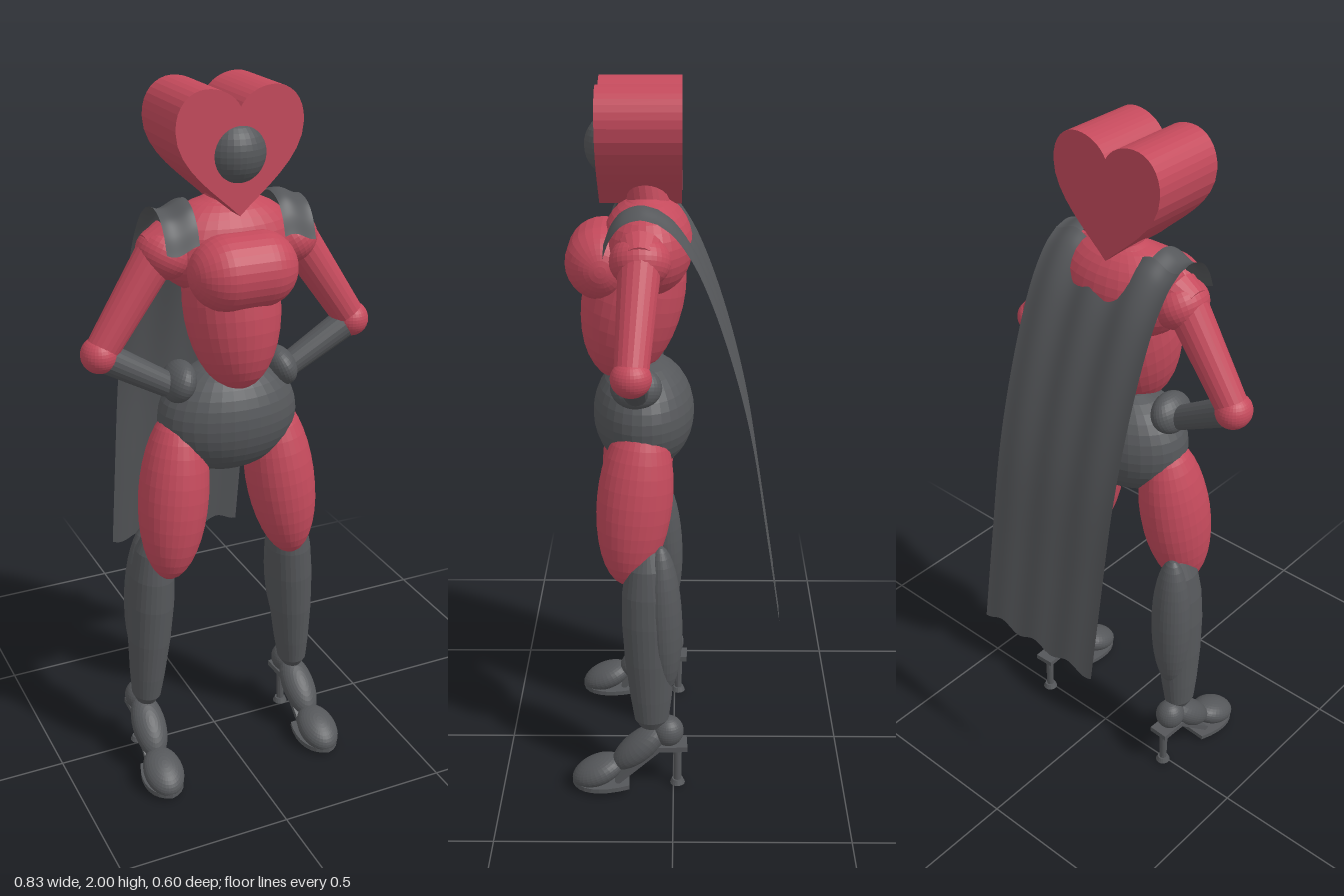
import * as THREE from 'three';

const red = new THREE.MeshStandardMaterial({ color: 0xc44a5c, flatShading: true });
const dark = new THREE.MeshStandardMaterial({ color: 0x55575a, flatShading: true });
const cloth = new THREE.MeshStandardMaterial({ color: 0x55575a, side: THREE.DoubleSide });
const V = (x, y, z) => new THREE.Vector3(x, y, z);

function add(parent, name, geometry, material, pos = [0, 0, 0], rot = [0, 0, 0]) {
  const mesh = new THREE.Mesh(geometry, material);
  mesh.name = name;
  mesh.position.set(...pos);
  mesh.rotation.set(...rot);
  parent.add(mesh);
  return mesh;
}

function ellipsoid(parent, name, material, pos, radii, rot) {
  const geometry = new THREE.SphereGeometry(1, 32, 18).scale(...radii);
  return add(parent, name, geometry, material, pos, rot);
}

// Tapered limb running from a to b
function limb(parent, name, material, a, b, ra, rb) {
  const dir = b.clone().sub(a);
  const mesh = add(parent, name, new THREE.CylinderGeometry(rb, ra, dir.length(), 20), material,
    a.clone().add(b).multiplyScalar(0.5).toArray());
  mesh.quaternion.setFromUnitVectors(V(0, 1, 0), dir.normalize());
  return mesh;
}

function buildHead() {
  const head = new THREE.Group();
  head.name = 'head';
  const heart = new THREE.Shape();
  heart.moveTo(0, 0);
  heart.bezierCurveTo(0.06, 0.06, 0.173, 0.13, 0.173, 0.225);
  heart.bezierCurveTo(0.173, 0.285, 0.135, 0.32, 0.09, 0.32);
  heart.bezierCurveTo(0.05, 0.32, 0.015, 0.3, 0, 0.272);
  heart.bezierCurveTo(-0.015, 0.3, -0.05, 0.32, -0.09, 0.32);
  heart.bezierCurveTo(-0.135, 0.32, -0.173, 0.285, -0.173, 0.225);
  heart.bezierCurveTo(-0.173, 0.13, -0.06, 0.06, 0, 0);
  add(head, 'heartHead', new THREE.ExtrudeGeometry(heart, { depth: 0.22, bevelEnabled: false, curveSegments: 8 }),
    red, [-0.018, 1.68, -0.022]);
  ellipsoid(head, 'face', dark, [-0.018, 1.835, 0.15], [0.086, 0.086, 0.085]);
  limb(head, 'neck', red, V(0, 1.63, 0.06), V(0, 1.78, 0.08), 0.06, 0.05);
  return head;
}

function buildTorso() {
  const torso = new THREE.Group();
  torso.name = 'torso';
  ellipsoid(torso, 'ribcage', red, [0, 1.575, 0.07], [0.2, 0.135, 0.122]);
  ellipsoid(torso, 'collar', red, [0, 1.645, 0.07], [0.12, 0.07, 0.08]);
  ellipsoid(torso, 'waist', red, [0, 1.43, 0.11], [0.13, 0.24, 0.138], [-0.22, 0, 0]);
  const bust = new THREE.CapsuleGeometry(0.1, 0.095, 10, 28).rotateZ(Math.PI / 2);
  add(torso, 'bust', bust, red, [-0.005, 1.535, 0.19]);
  ellipsoid(torso, 'hips', dark, [0, 1.1, 0.084], [0.2, 0.162, 0.141]);
  return torso;
}

function buildArm(side) {
  const arm = new THREE.Group();
  arm.name = side > 0 ? 'leftArm' : 'rightArm';
  const z = side > 0 ? 0.105 : 0.088;
  const shoulder = V(side * 0.2, 1.575, 0.085), elbow = V(side * 0.366, 1.325, z);
  const wrist = V(side * 0.18, 1.215, 0.1);
  ellipsoid(arm, 'shoulder', red, [side * 0.18, 1.575, 0.085], [0.075, 0.068, 0.08], [0, 0, side * 0.5]);
  limb(arm, 'shoulderCuff', red, V(side * 0.175, 1.6, 0.085), V(side * 0.225, 1.585, 0.085), 0.062, 0.045);
  limb(arm, 'upperArm', red, shoulder, elbow, 0.056, 0.044);
  ellipsoid(arm, 'elbow', red, elbow.toArray(), [0.049, 0.049, 0.053]);
  limb(arm, 'forearm', dark, elbow, wrist, 0.042, 0.034);
  ellipsoid(arm, 'hand', dark, [side * 0.15, 1.22, 0.1], [0.042, 0.058, 0.07], [0, 0, side * 0.4]);
  return arm;
}

function buildLeg(side) {
  const leg = new THREE.Group();
  leg.name = side > 0 ? 'leftLeg' : 'rightLeg';
  leg.position.x = -0.008;
  ellipsoid(leg, 'thigh', red, [side * 0.163, 0.89, 0.107], [0.097, 0.25, 0.105], [-0.1, 0, side * 0.12]);
  // Boot shaft: knee to ankle, with a calf behind
  const profile = [[0, 0], [0.03, 0.005], [0.045, 0.03], [0.054, 0.1], [0.065, 0.22], [0.07, 0.34],
    [0.067, 0.43], [0.055, 0.51], [0.033, 0.56], [0, 0.58]].map(p => new THREE.Vector2(...p));
  const shaft = new THREE.LatheGeometry(profile, 28).scale(0.93, 1, 1.1);
  add(leg, 'bootShaft', shaft, dark, [side * 0.243, 0.2, 0.062], [0.02, 0, side * 0.06]);
  ellipsoid(leg, 'calf', dark, [side * 0.225, 0.545, 0.03], [0.062, 0.23, 0.055], [0.03, 0, side * 0.04]);
  leg.add(buildShoe(side));
  return leg;
}

function buildShoe(side) {
  const shoe = new THREE.Group();
  shoe.name = 'shoe';
  shoe.position.x = side * 0.245;
  shoe.rotation.y = side * 0.04;
  ellipsoid(shoe, 'ankle', dark, [0, 0.188, 0.015], [0.043, 0.046, 0.045]);
  ellipsoid(shoe, 'instep', dark, [0, 0.135, 0.1], [0.05, 0.042, 0.1], [0.72, 0, 0]);
  ellipsoid(shoe, 'toe', dark, [0, 0.055, 0.222], [0.058, 0.04, 0.08], [0.4, 0, 0]);
  // Pointed front sole
  const sole = new THREE.Shape();
  sole.moveTo(-0.04, -0.13);
  sole.lineTo(0.04, -0.13);
  sole.bezierCurveTo(0.075, -0.22, 0.055, -0.285, 0, -0.297);
  sole.bezierCurveTo(-0.055, -0.285, -0.075, -0.22, -0.04, -0.13);
  const plate = new THREE.ExtrudeGeometry(sole, { depth: 0.014, bevelEnabled: false, curveSegments: 8 });
  add(shoe, 'frontSole', plate.rotateX(-Math.PI / 2), dark, [0, 0.012, 0]);
  add(shoe, 'arch', new THREE.BoxGeometry(0.06, 0.014, 0.17), dark, [0, 0.084, 0.105], [0.74, 0, 0]);
  add(shoe, 'heelSeat', new THREE.BoxGeometry(0.06, 0.016, 0.09), dark, [0, 0.14, 0.005]);
  add(shoe, 'heel', new THREE.CylinderGeometry(0.013, 0.011, 0.13, 12), dark, [0, 0.075, -0.012]);
  add(shoe, 'heelTip', new THREE.CylinderGeometry(0.016, 0.022, 0.014, 16), dark, [0, 0.013, -0.012]);
  ellipsoid(shoe, 'tread', dark, [0, 0.013, 0.22], [0.045, 0.013, 0.06]);
  return shoe;
}

// A rippled cloth strip: sweeps a side profile between two x limits
function drape(parent, name, points, x0, x1, segments) {
  const curve = new THREE.CatmullRomCurve3(points.map(([z, y]) => V(0, y, z)));
  const geometry = new THREE.PlaneGeometry(1, 1, segments, 40);
  const p = geometry.attributes.position;
  for (let i = 0; i < p.count; i++) {
    const x = x0 + (x1 - x0) * (p.getX(i) + 0.5);
    const c = curve.getPoint(0.5 - p.getY(i));
    p.setXYZ(i, x, c.y + 0.011 * Math.sin(x * 48 + 1), c.z);
  }
  geometry.computeVertexNormals();
  add(parent, name, geometry, cloth);
}

function buildCape() {
  const cape = new THREE.Group();
  cape.name = 'cape';
  drape(cape, 'capeBack', [[0.04, 1.69], [0, 1.66], [-0.05, 1.59], [-0.1, 1.48], [-0.16, 1.3], [-0.21, 1.1],
    [-0.26, 0.8], [-0.3, 0.545]], -0.21, 0.21, 60);
  for (const side of [-1, 1]) {
    drape(cape, 'shoulderDrape', [[0.04, 1.69], [0.085, 1.7], [0.13, 1.685], [0.16, 1.65], [0.18, 1.6]],
      side * 0.12, side * 0.21, 16);
  }
  return cape;
}

export function createModel() {
  const model = new THREE.Group();
  model.name = 'figure';
  model.add(buildHead(), buildTorso(), buildCape());
  for (const side of [-1, 1]) model.add(buildArm(side), buildLeg(side));
  return model;
}
